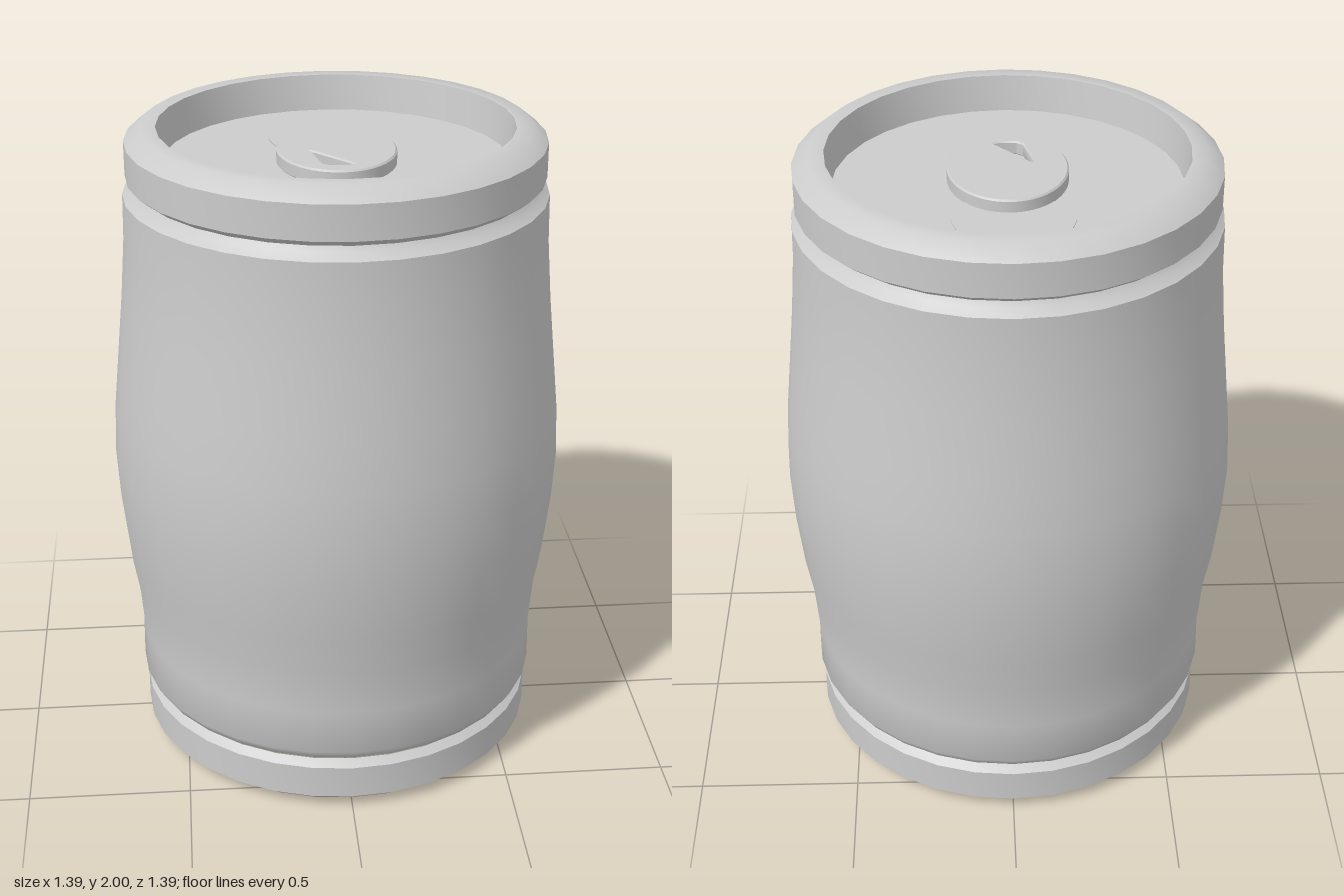
import * as THREE from 'three';
import { toCreasedNormals } from 'three/addons/utils/BufferGeometryUtils.js';

const SIDES = 32;
const LID_Y = 1.89;
const grey = new THREE.MeshStandardMaterial({ color: 0xcccccc });

function addMesh(group, name, geometry, crease = 0.8) {
  const mesh = new THREE.Mesh(toCreasedNormals(geometry, crease), grey);
  mesh.name = name;
  group.add(mesh);
  return mesh;
}

// Revolve [radius, height] pairs about the vertical axis
function turned(points) {
  return new THREE.LatheGeometry(points.map(([r, y]) => new THREE.Vector2(r, y)), SIDES);
}

// Raise a flat outline, drawn as (x, -z), upward
function raised(shape, options) {
  return new THREE.ExtrudeGeometry(shape, options).rotateX(-Math.PI / 2);
}

export function createModel() {
  const can = new THREE.Group();
  can.name = 'drinkCan';

  // Bulging body with a shoulder at each end
  addMesh(can, 'body', turned([
    [0.6, 0.175], [0.618, 0.182], [0.635, 0.21], [0.633, 0.35], [0.645, 0.5],
    [0.666, 0.62], [0.686, 0.8], [0.695, 0.96], [0.688, 1.12], [0.672, 1.28],
    [0.652, 1.48], [0.638, 1.66], [0.635, 1.8], [0.61, 1.82], [0.6, 1.835],
  ]));

  // Rims, mirrored top and bottom, each with a recessed inner wall
  const rim = [
    [0.6, 0.835], [0.625, 0.855], [0.625, 0.96], [0.575, 1], [0.53, 1], [0.515, LID_Y - 1],
  ];
  addMesh(can, 'topRim', turned(rim.map(([r, h]) => [r, 1 + h])));
  addMesh(can, 'bottomRim', turned(rim.map(([r, h]) => [r, 1 - h]).reverse()));

  // Recessed end discs, turned so their corners meet the rims
  const lid = addMesh(can, 'lid', new THREE.CircleGeometry(0.515, SIDES).rotateX(-Math.PI / 2));
  lid.position.y = LID_Y;
  const base = addMesh(can, 'base', new THREE.CircleGeometry(0.515, SIDES).rotateX(Math.PI / 2));
  base.position.y = 2 - LID_Y;

  // Slightly raised mouth panel
  const panel = new THREE.Shape();
  panel.absellipse(-0.01, 0.215, 0.178, 0.195, -0.45, Math.PI + 0.45, false, 0);
  panel.closePath();
  const mouth = addMesh(can, 'mouthPanel', raised(panel, { depth: 0.004, bevelEnabled: false, curveSegments: 28 }));
  mouth.position.y = LID_Y;

  // Oval pull tab with a wedge-shaped finger hole
  const oval = new THREE.Shape();
  oval.absellipse(0, -0.025, 0.178, 0.224, 0, Math.PI * 2, false, 0);
  oval.holes.push(new THREE.Path([
    [-0.08, -0.05], [-0.07, -0.055], [0.04, -0.182], [0.02, -0.192], [-0.03, -0.19], [-0.05, -0.175],
  ].map(([x, y]) => new THREE.Vector2(x, y))));
  const tab = addMesh(can, 'pullTab', raised(oval, {
    depth: 0.034, curveSegments: 32,
    bevelThickness: 0.005, bevelSize: 0.005, bevelOffset: -0.005, bevelSegments: 1,
  }), 0.6);
  tab.position.y = LID_Y + 0.003;

  return can;
}
